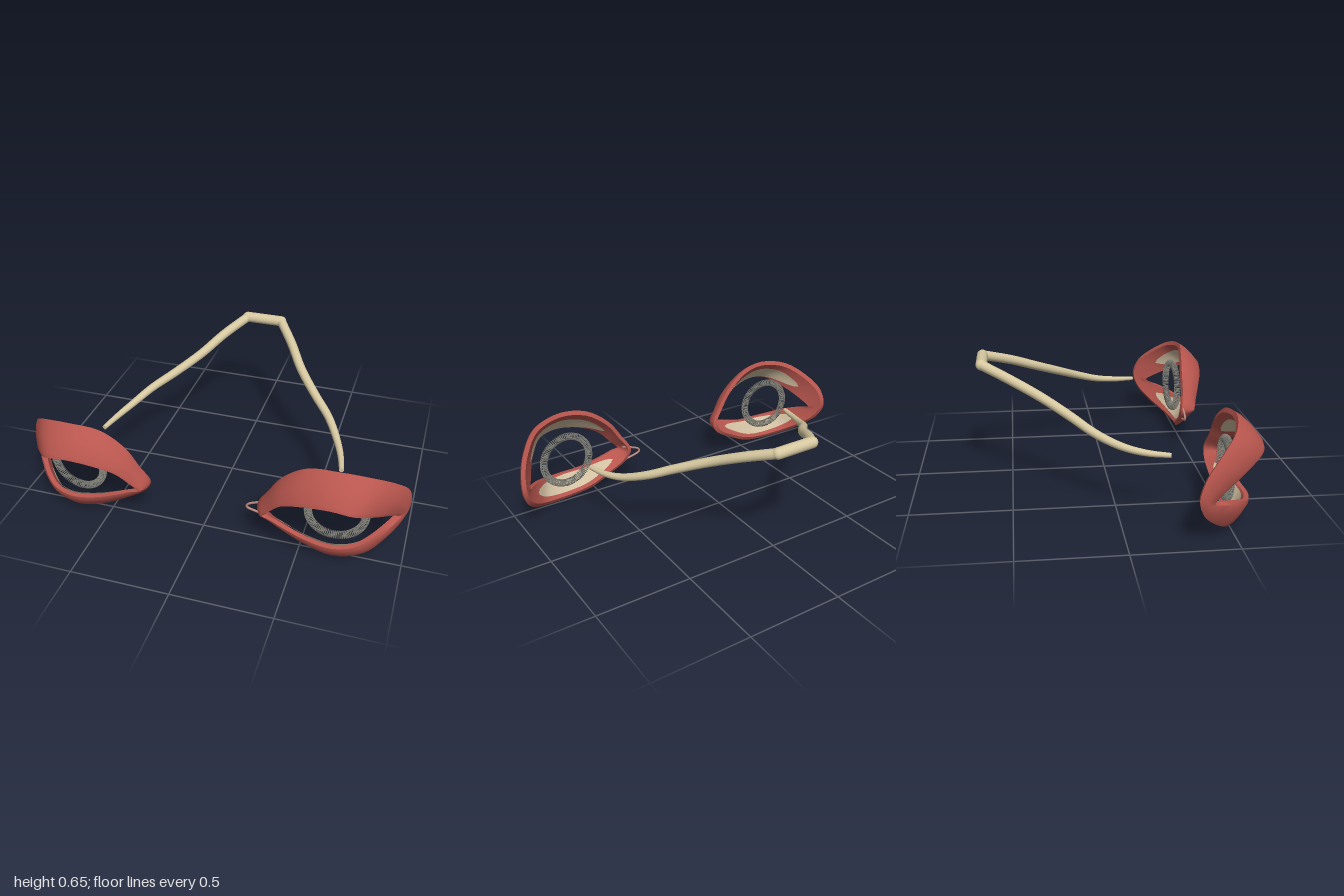
import * as THREE from 'three';
import { toCreasedNormals } from 'three/addons/utils/BufferGeometryUtils.js';

const V = (x, y, z) => new THREE.Vector3(x, y, z);
const paint = (color, side = THREE.FrontSide) => new THREE.MeshStandardMaterial({ color, side });
const lidMat = paint(0xb8564e);
const plateMat = paint(0xd2c0a2, THREE.DoubleSide);
const nerveMat = paint(0xd6c8a0);
const springMat = paint(0x7c7c74);
const ductMat = paint(0xb98a80);

function part(name, geometry, material) {
  const mesh = new THREE.Mesh(geometry, material);
  mesh.name = name;
  return mesh;
}

// Lid stations, from the inner corner over the top and back along the bottom:
// opening margin x, y, z, then outer rim x, y, z
const STATIONS = [
  [.32, .20, .57, .282, .21, .485],
  [.36, .25, .585, .33, .30, .50],
  [.42, .315, .61, .40, .405, .505],
  [.52, .36, .64, .52, .495, .52],
  [.66, .385, .66, .67, .518, .535],
  [.77, .365, .645, .83, .487, .495],
  [.865, .305, .54, .93, .415, .41],
  [.92, .25, .445, .985, .335, .335],
  [.95, .205, .385, .998, .24, .302],
  [.91, .185, .45, .972, .155, .33],
  [.84, .155, .535, .91, .08, .40],
  [.77, .13, .585, .82, .022, .48],
  [.67, .12, .61, .67, .001, .52],
  [.55, .13, .60, .53, .03, .505],
  [.43, .165, .585, .41, .09, .495],
  [.36, .19, .575, .315, .15, .485],
];
const margin = new THREE.CatmullRomCurve3(STATIONS.map((s) => V(s[0], s[1], s[2])), true);
const rim = new THREE.CatmullRomCurve3(STATIONS.map((s) => V(s[3], s[4], s[5])), true);
const EYE = V(.67, .25, .3);

// Closed lid cross-section: margin, lip, bulge, rim, then the hollow back
function lidSection(u) {
  const m = margin.getPoint(u), r = rim.getPoint(u);
  const push = (t, d) => {
    const p = m.clone().lerp(r, t);
    return p.addScaledVector(p.clone().sub(EYE).normalize(), d);
  };
  return [m, push(.12, .01), push(.5, .014), push(.8, .01), r,
    push(.96, -.022), push(.5, -.018), push(.04, -.022)];
}

// Skin a grid of rows; sign mirrors it in x and keeps faces outward
function skin(rows, sign, closed) {
  const n = rows.length, k = rows[0].length, pos = [], index = [];
  rows.forEach((row) => row.forEach((p) => pos.push(p.x * sign, p.y, p.z)));
  const wrap = closed ? 0 : 1;
  for (let i = 0; i < n - wrap; i++) for (let j = 0; j < k - wrap; j++) {
    const i2 = (i + 1) % n, j2 = (j + 1) % k;
    const a = i * k + j, b = i2 * k + j, c = i2 * k + j2, d = i * k + j2;
    if (sign > 0) index.push(a, b, c, a, c, d);
    else index.push(a, c, b, a, d, c);
  }
  const g = new THREE.BufferGeometry();
  g.setAttribute('position', new THREE.Float32BufferAttribute(pos, 3));
  g.setIndex(index);
  g.computeVertexNormals();
  return g;
}

function eyelids(sign) {
  const rows = [];
  for (let i = 0; i < 64; i++) rows.push(lidSection(i / 64));
  return part('eyelids', toCreasedNormals(skin(rows, sign, true), .7), lidMat);
}

// Pale crescent lining the back of one lid, between two stations;
// spread is how far it reaches towards the outer rim
function lidPlate(name, from, to, spread, sign) {
  const rows = [];
  for (let i = 0; i <= 24; i++) {
    const s = lidSection((from + (to - from) * i / 24) / 16);
    const w = Math.pow(Math.sin(Math.PI * i / 24), .5);
    const row = [];
    for (let j = 0; j <= 6; j++) {
      const t = 1 + (-spread + (spread + .9) * j / 6) * w;
      const p = t < 1 ? s[5].clone().lerp(s[6], t) : s[6].clone().lerp(s[7], t - 1);
      row.push(p.addScaledVector(p.clone().sub(EYE).normalize(), -.008));
    }
    rows.push(row);
  }
  return part(name, skin(rows, sign, false), plateMat);
}

// Coil wound around a ring
class RingCoil extends THREE.Curve {
  constructor(R, r, turns) { super(); Object.assign(this, { R, r, turns }); }
  getPoint(t, target = V(0, 0, 0)) {
    const a = t * Math.PI * 2, b = a * this.turns, d = this.R + this.r * Math.cos(b);
    return target.set(d * Math.cos(a), d * Math.sin(a), this.r * Math.sin(b));
  }
}

// Ring-shaped spring, turned slightly outward
function irisCoil(sign) {
  const coil = part('irisCoil',
    new THREE.TubeGeometry(new RingCoil(.138, .018, 90), 1440, .0027, 8, true), springMat);
  coil.position.set(.67 * sign, .25, .498);
  coil.rotation.y = .08 * sign;
  return coil;
}

// Tapered nerve arm: a tube whose rings are scaled about the path
function nerveArm(sign) {
  const path = new THREE.CatmullRomCurve3([
    [.1, .625, -.637], [.2, .569, -.49], [.29, .504, -.345], [.4, .438, -.21],
    [.5, .382, -.1], [.57, .337, .02], [.613, .317, .13], [.64, .31, .245],
  ].map(([x, y, z]) => V(x * sign, y, z)));
  const N = 48, K = 16;
  const g = new THREE.TubeGeometry(path, N, 1, K);
  const p = g.attributes.position, v = V(0, 0, 0);
  for (let i = 0; i <= N; i++) {
    const c = path.getPointAt(i / N);
    const radius = .026 - .004 * i / N - .01 * Math.pow(i / N, 4);
    for (let j = 0; j <= K; j++) {
      const q = i * (K + 1) + j;
      v.fromBufferAttribute(p, q).sub(c).multiplyScalar(radius).add(c);
      p.setXYZ(q, v.x, v.y, v.z);
    }
  }
  const arm = new THREE.Group();
  arm.name = 'nerveArm';
  const tip = part('nerveTip', new THREE.CircleGeometry(.012, K), nerveMat);
  tip.position.copy(path.getPoint(1));
  tip.lookAt(tip.position.clone().add(path.getTangent(1)));
  // Rounded elbow where the arm meets the crossing
  const elbow = part('nerveElbow', new THREE.SphereGeometry(.029, 24, 16), nerveMat);
  elbow.position.copy(path.getPoint(0));
  arm.add(part('nerveTube', g, nerveMat), tip, elbow);
  return arm;
}

export function createModel() {
  const model = new THREE.Group();
  model.name = 'eyeStructures';

  for (const sign of [1, -1]) {
    const eye = new THREE.Group();
    eye.name = sign > 0 ? 'leftEye' : 'rightEye';
    eye.add(eyelids(sign), irisCoil(sign),
      lidPlate('upperLidPlate', 1.8, 6.3, .5, sign),
      lidPlate('lowerLidPlate', 9.8, 14.6, .7, sign));
    model.add(eye, nerveArm(sign));
  }

  // Nerve crossing at the back
  const crossing = part('nerveCrossing', new THREE.CylinderGeometry(.029, .029, .2, 24), nerveMat);
  crossing.rotation.z = Math.PI / 2;
  crossing.position.set(0, .625, -.637);
  model.add(crossing);

  // Tear duct, a narrow loop at the inner corner of the left eye
  const duct = new THREE.CatmullRomCurve3([
    V(.33, .23, .5), V(.28, .216, .495), V(.23, .192, .495), V(.226, .176, .495),
    V(.28, .157, .495), V(.345, .143, .5),
  ]);
  model.add(part('tearDuct', new THREE.TubeGeometry(duct, 32, .006, 8), ductMat));
  return model;
}
